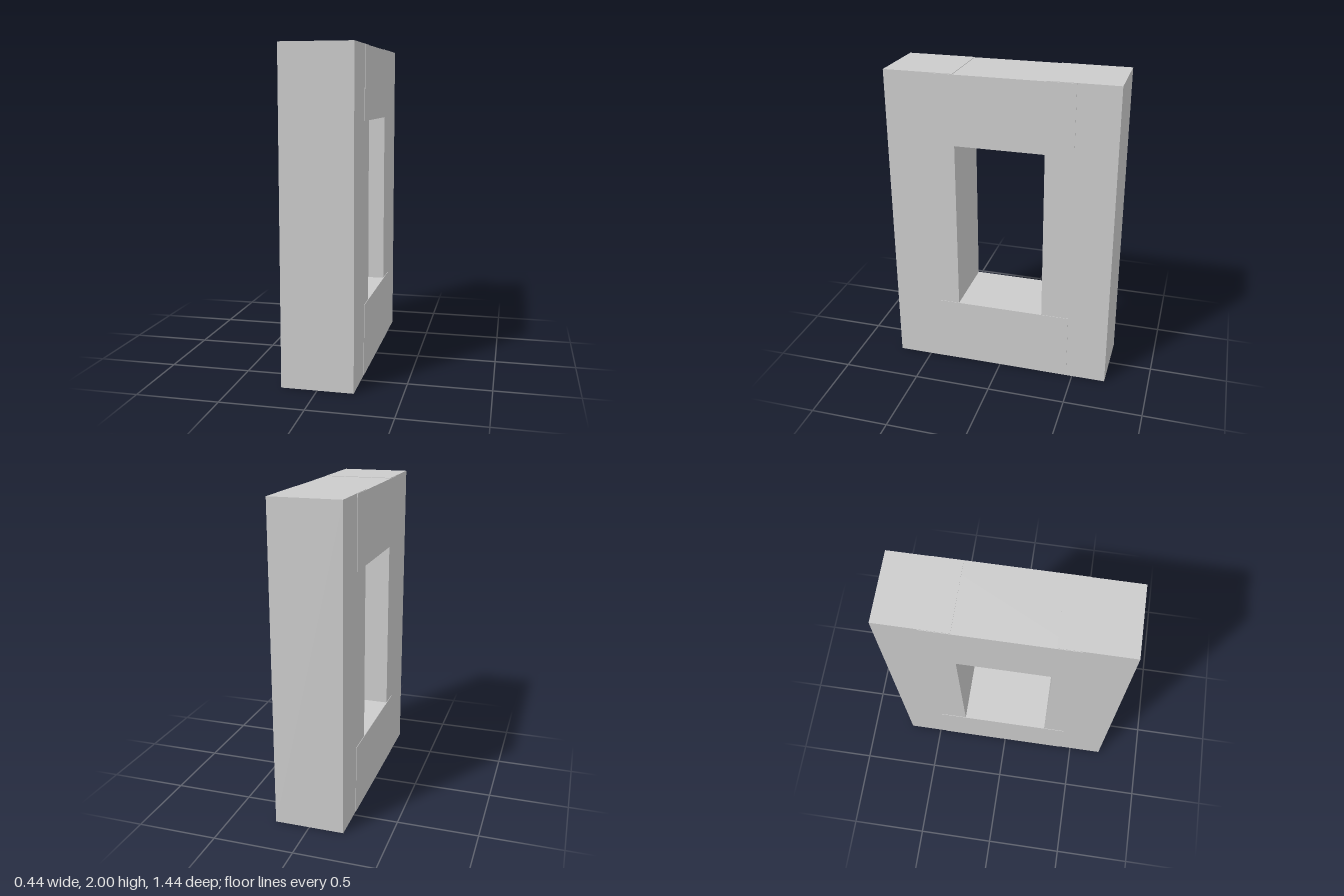
import * as THREE from 'three';

export function createModel() {
  const model = new THREE.Group();
  model.name = 'rectangularFrame';
  const material = new THREE.MeshStandardMaterial({ color: 0xcccccc, flatShading: true });

  const addBeam = (name, size, position) => {
    const beam = new THREE.Mesh(new THREE.BoxGeometry(...size), material);
    beam.name = name;
    beam.position.set(...position);
    model.add(beam);
  };

  // Full-height posts at the front and back
  addBeam('frontPost', [0.436, 2, 0.436], [0, 1, 0.5]);
  addBeam('backPost', [0.436, 2, 0.436], [0, 1, -0.5]);

  // Rails tenoned into the posts, a hair proud at the sides and set in at the ends
  addBeam('bottomRail', [0.442, 0.442, 0.88], [0, 0.224, -0.02]);
  addBeam('topRail', [0.442, 0.442, 0.88], [0, 1.776, -0.02]);

  return model;
}
